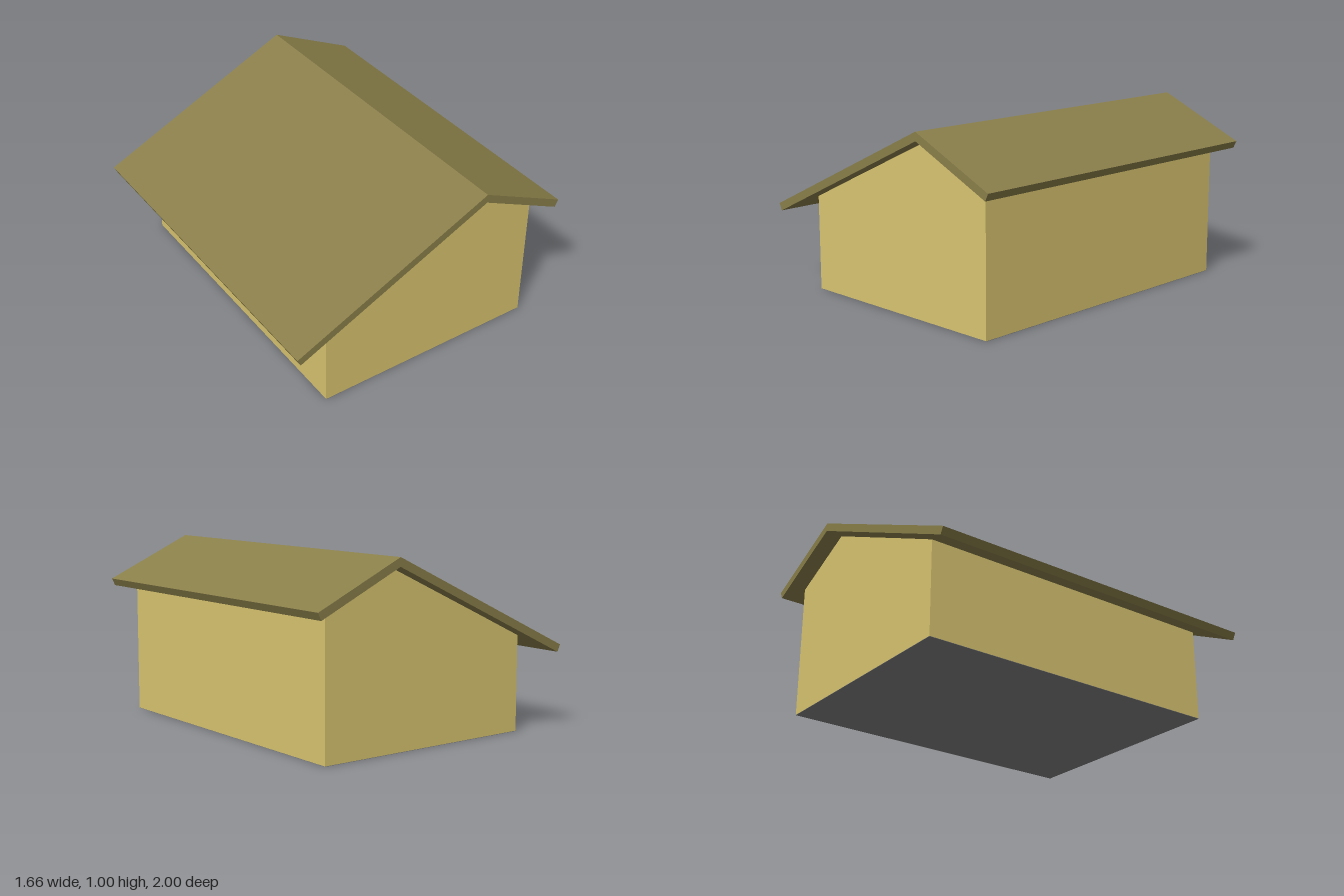
import * as THREE from 'three';

// Extrude an XY outline along z, centred on z = 0
function prism(name, points, depth, color) {
  const shape = new THREE.Shape(points.map(([x, y]) => new THREE.Vector2(x, y)));
  const geometry = new THREE.ExtrudeGeometry(shape, { depth, bevelEnabled: false });
  geometry.translate(0, 0, -depth / 2);
  const mesh = new THREE.Mesh(geometry, new THREE.MeshStandardMaterial({ color }));
  mesh.name = name;
  return mesh;
}

export function createModel() {
  const group = new THREE.Group();
  group.name = 'house';
  const left = -0.595, right = 0.715, ridge = 0.323, wallDepth = 1.81;
  const floorThickness = 0.002;

  // Walls with an off-centre gable
  group.add(prism('walls', [
    [left, floorThickness], [right, floorThickness], [right, 0.775], [ridge, 0.955], [left, 0.53],
  ], wallDepth, 0xdac671));

  // Bent roof slab with square-cut eaves, overhanging on all sides
  group.add(prism('roof', [
    [-0.81, 0.429], [ridge, 0.957], [0.809, 0.731],
    [0.828, 0.771], [ridge, 1.005], [-0.829, 0.468],
  ], 2, 0x8a7f4a));

  // Grey underside
  const floor = new THREE.Mesh(
    new THREE.BoxGeometry(right - left, floorThickness, wallDepth),
    new THREE.MeshStandardMaterial({ color: 0x808080 }),
  );
  floor.name = 'floor';
  floor.position.set((left + right) / 2, floorThickness / 2, 0);
  group.add(floor);

  return group;
}
